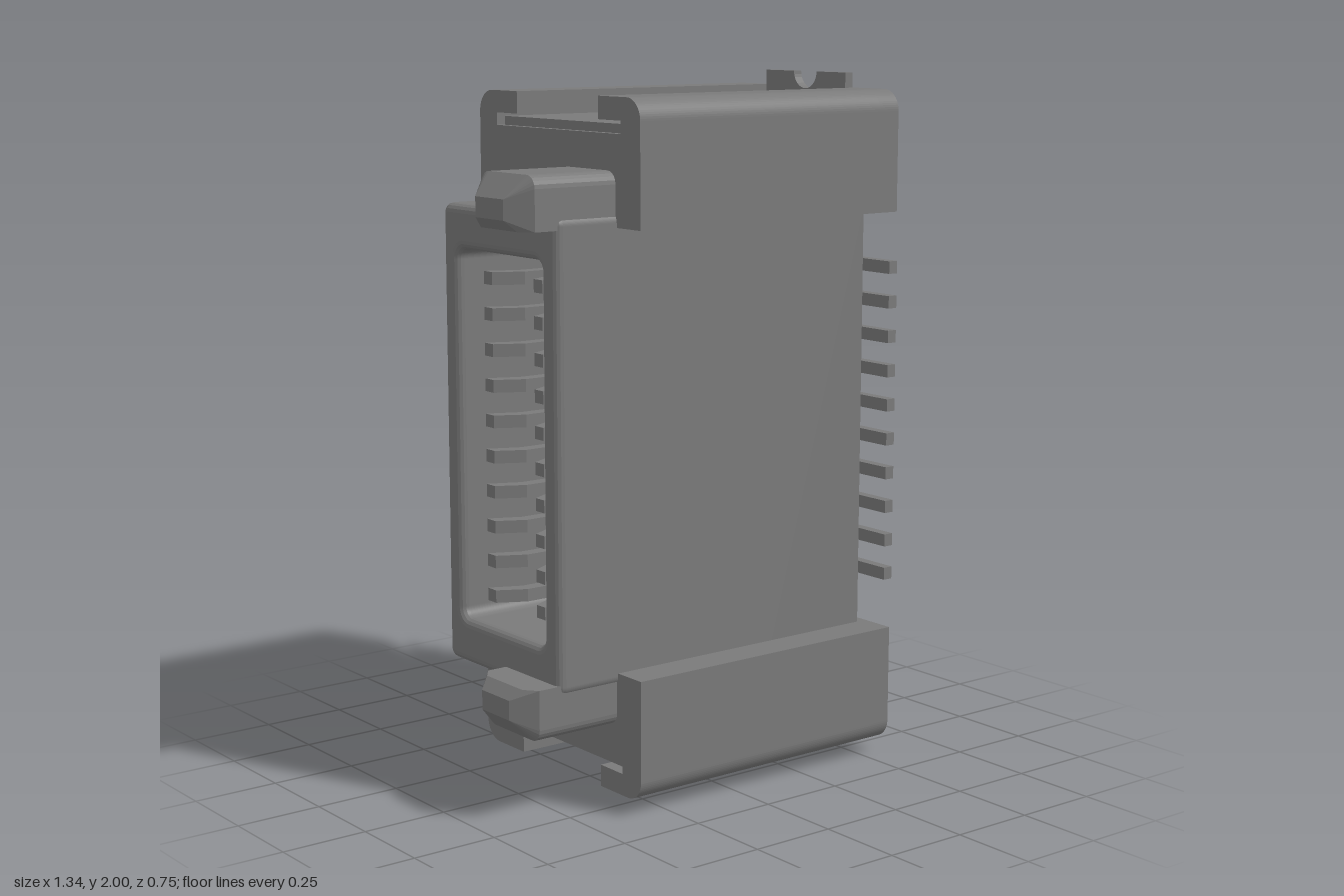
import * as THREE from 'three';
import { ConvexGeometry } from 'three/addons/geometries/ConvexGeometry.js';

const plastic = new THREE.MeshStandardMaterial({ name: 'housing grey', color: 0x7a7a7a });

function mesh(name, geometry) {
  const m = new THREE.Mesh(geometry, plastic);
  m.name = name;
  return m;
}

function polygon(points, PathType = THREE.Shape) {
  return new PathType(points.map(([a, b]) => new THREE.Vector2(a, b)));
}

// rectangle with rounded corners
function roundedRect(x0, x1, y0, y1, r, PathType = THREE.Shape) {
  const s = new PathType();
  s.absarc(x1 - r, y0 + r, r, -Math.PI / 2, 0);
  s.absarc(x1 - r, y1 - r, r, 0, Math.PI / 2);
  s.absarc(x0 + r, y1 - r, r, Math.PI / 2, Math.PI);
  s.absarc(x0 + r, y0 + r, r, Math.PI, Math.PI * 1.5);
  s.closePath();
  return s;
}

// cross-section drawn in (-z, y), pushed along x from x0 to x1
function alongX(shape, x0, x1, bevel = 0) {
  const g = new THREE.ExtrudeGeometry(shape, {
    depth: x1 - x0 - 2 * bevel, curveSegments: 8, bevelEnabled: bevel > 0,
    bevelThickness: bevel, bevelSize: bevel, bevelOffset: -bevel, bevelSegments: 4,
  });
  return g.rotateY(Math.PI / 2).translate(x0 + bevel, 0, 0);
}

// plan outline drawn in (x, z), thickened in y about zero
function alongY(shape, thickness) {
  return new THREE.ExtrudeGeometry(shape, { depth: thickness, bevelEnabled: false })
    .rotateX(Math.PI / 2).translate(0, thickness / 2, 0);
}

function box(name, x0, x1, y0, y1, z0, z1) {
  const g = new THREE.BoxGeometry(x1 - x0, y1 - y0, z1 - z0);
  return mesh(name, g.translate((x0 + x1) / 2, (y0 + y1) / 2, (z0 + z1) / 2));
}

// end block section: rounded outer corners, groove on top with undercut slots
function blockShape(slot, recess) {
  const s = new THREE.Shape(), floor = 0.86, r = 0.06;
  s.moveTo(-0.375, 0.612);
  s.lineTo(0.375, 0.612);
  s.absarc(0.375 - r, 0.957 - r, r, 0, Math.PI / 2);
  const half = [[0.19, 0.957], [0.19, 0.895], [slot, 0.895], [slot, floor]];
  if (recess) half.push([0.18, floor], [0.18, 0.82], [0.1, 0.82], [0.1, floor]);
  half.forEach(([a, b]) => s.lineTo(a, b));
  half.reverse().forEach(([a, b]) => s.lineTo(-a, b));
  s.absarc(-0.375 + r, 0.957 - r, r, Math.PI / 2, Math.PI);
  s.closePath();
  return s;
}

// one end, measured upward from mid height; side puts the guide post at +z or -z
function makeEnd(name, side) {
  const end = new THREE.Group();
  end.name = name;
  end.add(mesh('endBlock', alongX(blockShape(0.29, false), -0.35, 0.5)));
  end.add(mesh('endBlockFace', alongX(blockShape(0.215, true), 0.5, 0.57)));

  // metal clip: flat strip in the groove and upright tab with a round notch
  end.add(box('clipStrip', -0.33, 0.5, 0.86, 0.885, -0.28, 0.28));
  end.add(box('clipNeck', 0.49, 0.56, 0.862, 0.885, -0.175, 0.175));
  const tab = new THREE.Shape();
  tab.moveTo(-0.175, 0.87);
  tab.lineTo(0.175, 0.87);
  tab.lineTo(0.175, 1);
  tab.lineTo(0.05, 1);
  tab.absarc(0, 1, 0.05, 0, -Math.PI, true);
  tab.lineTo(-0.175, 1);
  tab.closePath();
  end.add(mesh('clipTab', alongX(tab, 0.547, 0.575)));

  // locating peg
  const peg = new THREE.LatheGeometry(
    [[0, 0.67], [0.02, 0.67], [0.02, 0.67], [0.042, 0.63], [0.042, 0.63], [0.042, 0.55]]
      .reverse().map(([r, x]) => new THREE.Vector2(r, x)), 24);
  end.add(mesh('locatingPeg', peg.rotateZ(-Math.PI / 2).translate(0, 0.765, 0)));

  // tapered guide post with rounded outer edges
  const pts = [], r = 0.035;
  const add = (x, y, z) => pts.push(new THREE.Vector3(x, y, z * side));
  for (const x of [-0.3, -0.61]) {
    for (let i = 0; i <= 5; i++) {
      const t = (i / 5) * Math.PI / 2, c = r * Math.cos(t), s = r * Math.sin(t);
      add(x, 0.762 - r + s, 0.267 - r + c);
      add(x, 0.762 - r + s, 0.02 + r - c);
    }
    add(x, 0.615, 0.267);
    add(x, 0.615, 0.02);
  }
  for (const z of [0.06, 0.23]) add(-0.64, 0.615, z);
  for (const z of [0.08, 0.21]) for (const y of [0.645, 0.7]) add(-0.67, y, z);
  end.add(mesh('guidePost', new ConvexGeometry(pts)));
  return end;
}

export function createModel() {
  const model = new THREE.Group();
  model.name = 'boardConnector';
  const rows = Array.from({ length: 10 }, (_, i) => 0.553 + i * 0.1);

  // open shell with the mating cavity facing -x
  const shell = roundedRect(-0.272, 0.272, 0.35, 1.655, 0.03);
  shell.holes.push(roundedRect(-0.2, 0.2, 0.48, 1.53, 0.03, THREE.Path));
  model.add(mesh('shell', alongX(shell, -0.55, 0.3, 0.025)));

  // base with one keyhole slot per contact
  const base = roundedRect(-0.272, 0.272, 0.35, 1.655, 0.03);
  for (const y of rows) for (const s of [-1, 1]) {
    const h = 0.028, w = 0.035;
    base.holes.push(polygon([
      [0.04, -h], [0.175, -h], [0.175, -w], [0.215, -w],
      [0.215, w], [0.175, w], [0.175, h], [0.04, h],
    ].map(([a, b]) => [a * s, y + b]), THREE.Path));
  }
  model.add(mesh('base', alongX(base, 0.2, 0.537)));

  // spring contacts with feet turned outward
  const outline = [
    [0.575, 0.375], [0.575, 0.17], [0.53, 0.15], [-0.1, 0.13], [-0.3, 0.058],
    [-0.42, 0.058], [-0.5, 0.1], [-0.5, 0.14], [-0.41, 0.1], [-0.31, 0.1],
    [-0.1, 0.17], [0.5, 0.195], [0.545, 0.2], [0.545, 0.375],
  ];
  for (const s of [-1, 1]) {
    const contact = alongY(polygon(outline.map(([x, z]) => [x, z * s])), 0.036);
    const row = new THREE.Group();
    row.name = s > 0 ? 'frontContacts' : 'backContacts';
    for (const y of rows) {
      const pin = mesh('contact', contact);
      pin.position.y = y;
      const z = [0.178 * s, 0.212 * s].sort((a, b) => a - b);
      row.add(pin, box('contactBarb', 0.3, 0.55, y - 0.033, y + 0.033, z[0], z[1]));
    }
    model.add(row);
  }

  // matching ends, the lower one turned over
  const top = makeEnd('topEnd', 1);
  const bottom = makeEnd('bottomEnd', -1);
  top.position.y = bottom.position.y = 1;
  bottom.rotation.x = Math.PI;
  model.add(top, bottom);
  return model;
}
